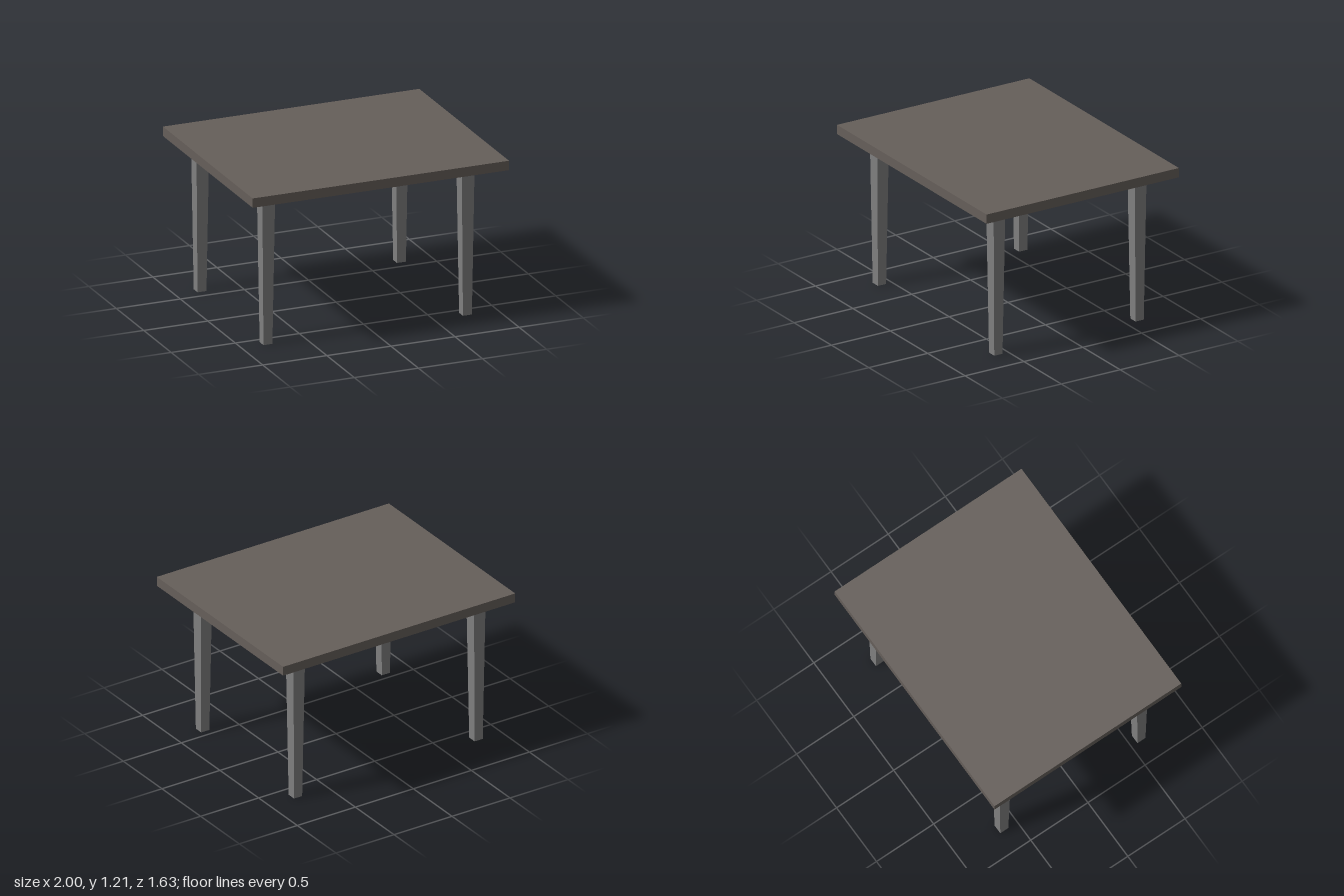
import * as THREE from 'three';

const HEIGHT = 1.21, SLAB = 0.072;
const LEG_HEIGHT = HEIGHT - SLAB;
const LEG_TOP = 0.1, LEG_FOOT = 0.07;

// Square leg, narrowing evenly from the tabletop to the floor
function taperedLeg() {
  const geometry = new THREE.BoxGeometry(LEG_TOP, LEG_HEIGHT, LEG_TOP);
  const p = geometry.attributes.position;
  const s = LEG_FOOT / LEG_TOP;
  for (let i = 0; i < p.count; i++) {
    if (p.getY(i) < 0) p.setXYZ(i, p.getX(i) * s, p.getY(i), p.getZ(i) * s);
  }
  geometry.computeVertexNormals();
  return geometry;
}

export function createModel() {
  const table = new THREE.Group();
  table.name = 'table';

  const topMaterial = new THREE.MeshStandardMaterial({ color: 0x665f5a });
  topMaterial.name = 'warm grey top';
  const legMaterial = new THREE.MeshStandardMaterial({ color: 0x808080 });
  legMaterial.name = 'grey legs';

  // Tabletop slab
  const top = new THREE.Mesh(new THREE.BoxGeometry(2, SLAB, 1.634), topMaterial);
  top.name = 'tabletop';
  top.position.y = HEIGHT - SLAB / 2;
  table.add(top);

  // Four legs, set slightly off-centre under the slab
  const legGeometry = taperedLeg();
  for (const [side, x] of [['Left', 0.759], ['Right', -0.797]]) {
    for (const [end, z] of [['front', 0.586], ['back', -0.614]]) {
      const leg = new THREE.Mesh(legGeometry, legMaterial);
      leg.name = `${end}${side}Leg`;
      leg.position.set(x, LEG_HEIGHT / 2, z);
      table.add(leg);
    }
  }
  return table;
}
